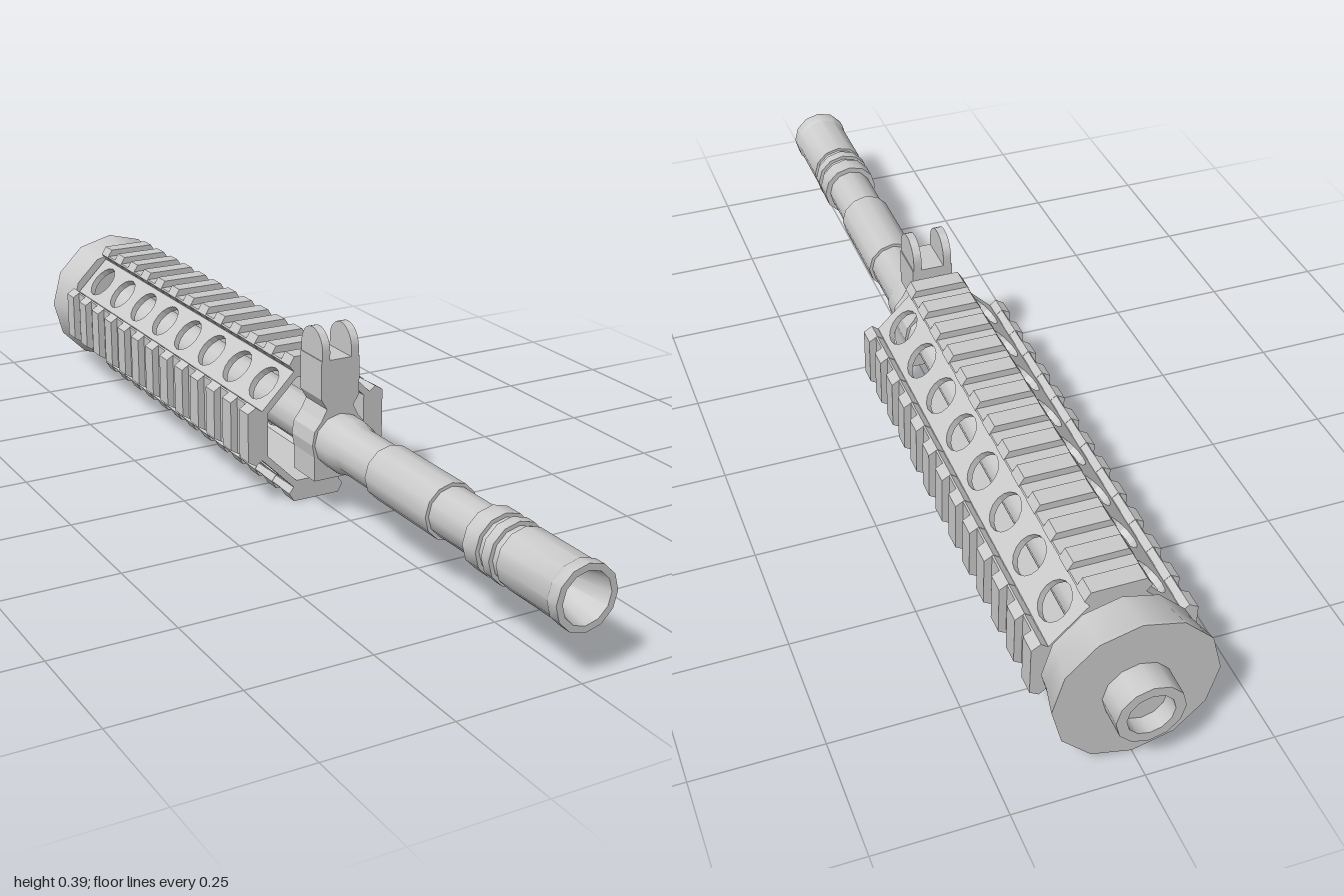
import * as THREE from 'three';
import { toCreasedNormals } from 'three/addons/utils/BufferGeometryUtils.js';

const AXIS = 0.157;              // height of the barrel axis
const FRONT = 0.11, BACK = -0.845; // ends of the handguard
const LENGTH = FRONT - BACK;

export function createModel() {
  const model = new THREE.Group();
  const material = new THREE.MeshStandardMaterial({ color: 0xcccccc });

  const add = (parent, name, geometry) => {
    const mesh = new THREE.Mesh(geometry, material);
    mesh.name = name;
    parent.add(mesh);
    return mesh;
  };
  // Turned part around the z axis; profile points are [radius, z], back to front
  const turned = (profile, sides) => {
    const g = new THREE.LatheGeometry(profile.map(([r, z]) => new THREE.Vector2(r, z)), sides);
    g.rotateX(Math.PI / 2);
    return toCreasedNormals(g, 0.6);
  };
  // Shape mirrored across x = 0 from its right half
  const mirrored = (half) => new THREE.Shape([
    ...half.map(([x, y]) => new THREE.Vector2(x, y)),
    ...half.slice().reverse().map(([x, y]) => new THREE.Vector2(-x, y)),
  ]);
  const extrude = (shape, depth, z) => {
    const g = new THREE.ExtrudeGeometry(shape, { depth, bevelEnabled: false, curveSegments: 8 });
    return g.translate(0, 0, z);
  };

  const body = new THREE.Group();
  body.name = 'body';
  body.position.y = AXIS;
  model.add(body);

  // Barrel with stepped sleeve, grooved muzzle and conical bore
  add(body, 'barrel', turned([
    [0, -0.87], [0.053, -0.87], [0.053, -0.82], [0.047, -0.8], [0.047, 0.1], [0.058, 0.12],
    [0.058, 0.25], [0.05, 0.28], [0.05, 0.395], [0.057, 0.395], [0.057, 0.605],
    [0.05, 0.605], [0.05, 0.73], [0.062, 0.73], [0.062, 0.77], [0.054, 0.77],
    [0.054, 0.787], [0.062, 0.787], [0.062, 0.81], [0.054, 0.81], [0.054, 0.828],
    [0.06, 0.828], [0.06, 0.97], [0.063, 0.975], [0.063, 1], [0.05, 1],
    [0.016, 0.86], [0, 0.86],
  ], 12));

  // Flared rear collar with a short hollow spigot
  add(body, 'rearCollar', turned([
    [0, -0.965], [0.045, -0.965], [0.045, -1], [0.065, -1], [0.065, -0.942],
    [0.157, -0.942], [0.155, -0.932], [0.144, -0.885], [0.142, -0.857], [0, -0.857],
  ], 12));

  // Handguard shell: solid plates under the rails, pierced plates between them
  const halfWidth = 0.126 * Math.tan(Math.PI / 8);
  const plate = (pierced) => {
    const shape = mirrored([[halfWidth, BACK], [halfWidth, FRONT]]);
    for (let i = 0; pierced && i < 8; i++) {
      const hole = new THREE.Path();
      hole.absarc(0, 0.05 - i * 0.1187, 0.039, 0, Math.PI * 2, true);
      shape.holes.push(hole);
    }
    return extrude(shape, 0.014, 0).rotateX(Math.PI / 2).translate(0, 0.126, 0);
  };
  const solidPlate = plate(false), piercedPlate = plate(true);

  // Rail: continuous dovetail base carrying evenly spaced teeth
  const base = extrude(mirrored([
    [0.053, 0.12], [0.053, 0.127], [0.062, 0.139], [0.06, 0.142],
  ]), LENGTH, BACK);
  const TEETH = 13, TOOTH = 0.038;
  const tooth = extrude(mirrored([
    [0.053, 0.126], [0.063, 0.139], [0.052, 0.157],
  ]), TOOTH, 0);

  ['top', 'right', 'bottom', 'left'].forEach((side, k) => {
    const quarter = new THREE.Group();
    quarter.name = side + 'Rail';
    quarter.rotation.z = -k * Math.PI / 2;
    body.add(quarter);
    add(quarter, 'railPlate', solidPlate);
    add(quarter, 'piercedPlate', piercedPlate).rotation.z = Math.PI / 4;
    add(quarter, 'railBase', base);
    for (let i = 0; i < TEETH; i++) {
      add(quarter, 'railTooth', tooth).position.z = BACK + i * (LENGTH - TOOTH) / (TEETH - 1);
    }
  });

  // Front sight block clamped round the barrel
  const sight = new THREE.Group();
  sight.name = 'frontSight';
  model.add(sight);
  add(sight, 'sightBlock', extrude(mirrored([
    [0.058, 0.08], [0.058, 0.13], [0.063, 0.157], [0.058, 0.185],
    [0.042, 0.205], [0.03, 0.228], [0.043, 0.25], [0.043, 0.33],
  ]), 0.085, 0.12));

  // Pair of rounded protective ears
  const ear = new THREE.Shape();
  ear.moveTo(-0.0425, 0.325);
  ear.lineTo(0.0425, 0.325);
  ear.absarc(0, 0.348, 0.0425, 0, Math.PI, false);
  const earGeometry = toCreasedNormals(
    extrude(ear, 0.017, -0.0085).rotateY(Math.PI / 2), 0.6);
  for (const side of [-1, 1]) {
    add(sight, side > 0 ? 'leftEar' : 'rightEar', earGeometry).position.set(side * 0.0325, 0, 0.1625);
  }

  return model;
}
